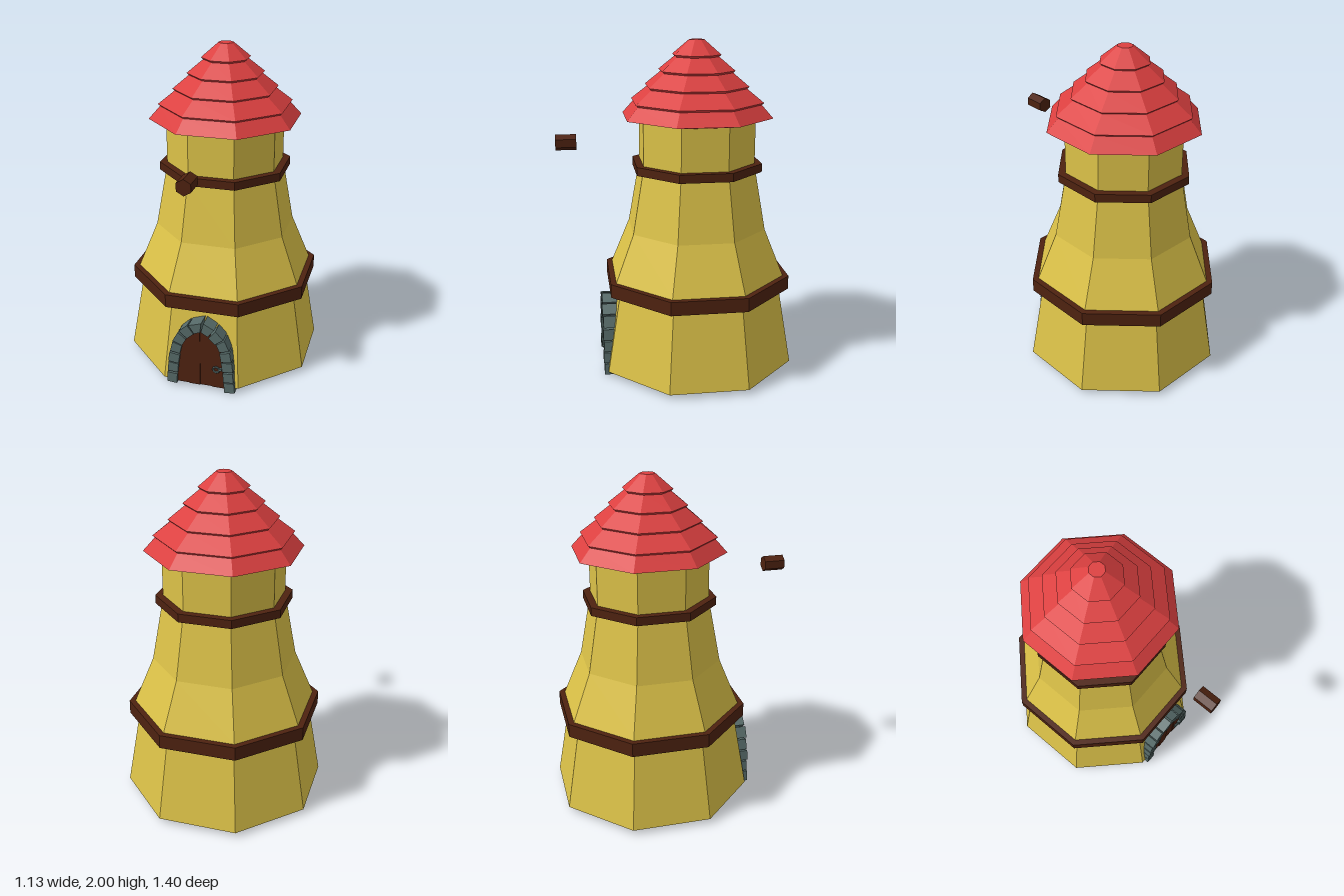
import * as THREE from 'three';

const AXIS_Z = -0.135; // the tower stands behind the centre, the peg floats in front
const mat = (name, color, side = THREE.FrontSide) => {
  const m = new THREE.MeshStandardMaterial({ color, side });
  m.name = name;
  return m;
};

// Give every face its own normal for a faceted look
function faceted(geometry) {
  const g = geometry.index ? geometry.toNonIndexed() : geometry;
  g.computeVertexNormals();
  return g;
}

export function createModel() {
  const model = new THREE.Group();
  model.name = 'tower';
  const plaster = mat('yellow plaster', 0xdcc248, THREE.DoubleSide);
  const tile = mat('red roof', 0xdc4040, THREE.DoubleSide);
  const wood = mat('dark wood', 0x4e2210);
  const stone = mat('grey stone', 0x566a68);

  const add = (name, geometry, material, parent = model) => {
    const mesh = new THREE.Mesh(faceted(geometry), material);
    mesh.name = name;
    parent.add(mesh);
    return mesh;
  };

  // Eight-sided ring from a profile of [distance to flat side, height]
  const octagon = (name, profile, material) => {
    const k = 1 / Math.cos(Math.PI / 8);
    const pts = profile.map(([a, y]) => new THREE.Vector2(a * k, y));
    const mesh = add(name, new THREE.LatheGeometry(pts, 8, Math.PI / 8), material);
    mesh.position.z = AXIS_Z;
    return mesh;
  };

  // Walls, open at the bottom
  octagon('lowerWall', [[0.565, 0.03], [0.483, 0.53]], plaster);
  octagon('middleWall', [[0.515, 0.57], [0.505, 0.6], [0.397, 0.88], [0.334, 1.25]], plaster);
  octagon('upperWall', [[0.33, 1.24], [0.33, 1.56]], plaster);

  // Wooden bands
  const band = (name, inner, outer, y0, y1) =>
    octagon(name, [[inner, y0], [outer, y0], [outer, y1], [inner, y1], [inner, y0]], wood);
  band('lowerBand', 0.478, 0.54, 0.512, 0.595);
  band('upperBand', 0.322, 0.371, 1.235, 1.285);

  // Stepped roof: each tier has a lip that overhangs the one below
  const tiers = [[0.425, 1.557], [0.373, 1.645], [0.292, 1.735], [0.214, 1.825], [0.136, 1.915]];
  const roof = [[0.32, 1.535]];
  tiers.forEach(([a, y], i) => {
    if (i > 0) roof.push([a - 0.012, y - 0.012]);
    roof.push([a, y]);
  });
  roof.push([0.042, 2], [0, 2]);
  octagon('roof', roof, tile);

  // Doorway stones: wedges laid along an arch
  const arch = new THREE.CatmullRomCurve3([
    [-0.177, 0.02], [-0.165, 0.17], [-0.138, 0.305], [-0.095, 0.375], [0.003, 0.433],
    [0.112, 0.365], [0.15, 0.3], [0.17, 0.18], [0.186, 0.003],
  ].map(([x, y]) => new THREE.Vector3(x, y, 0)));
  const doorway = new THREE.Group();
  doorway.name = 'doorway';
  model.add(doorway);
  const stones = 14;
  for (let i = 0; i < stones; i++) {
    const half = 0.031 + (i % 3) * 0.001;
    const edge = (u, side) => {
      const p = arch.getPointAt(u), t = arch.getTangentAt(u);
      return new THREE.Vector2(p.x - t.y * half * side, p.y + t.x * half * side);
    };
    const u0 = (i + (i ? 0.06 : 0)) / stones;
    const u1 = (i + (i < stones - 1 ? 0.94 : 1)) / stones;
    const shape = new THREE.Shape([edge(u0, -1), edge(u1, -1), edge(u1, 1), edge(u0, 1)]);
    const front = 0.456 - (i % 2) * 0.004;
    const geo = new THREE.ExtrudeGeometry(shape, { depth: front - 0.345, bevelEnabled: false });
    add('archStone', geo, stone, doorway).position.z = 0.345;
  }

  // Door planks with a rounded top line
  const top = (x) => 0.15 + 0.25 * Math.sqrt(Math.max(0, 1 - (x / 0.152) ** 2));
  const seams = [-0.148, -0.07, 0, 0.075, 0.15];
  for (let i = 0; i < 4; i++) {
    const [x0, x1] = [seams[i], seams[i + 1]];
    const pts = [new THREE.Vector2(x0, 0.025), new THREE.Vector2(x1, 0.025)];
    for (let j = 0; j <= 6; j++) {
      const x = x1 + ((x0 - x1) * j) / 6;
      pts.push(new THREE.Vector2(x, top(x)));
    }
    const depth = i % 2 ? 0.024 : 0.019;
    const geo = new THREE.ExtrudeGeometry(new THREE.Shape(pts), { depth, bevelEnabled: false });
    add('doorPlank', geo, wood, doorway).position.z = 0.42;
  }

  // Ring handle and its mount
  add('doorHandle', new THREE.TorusGeometry(0.019, 0.007, 5, 8), stone, doorway)
    .position.set(0.103, 0.158, 0.454);
  add('handleMount', new THREE.BoxGeometry(0.02, 0.014, 0.022), stone, doorway)
    .position.set(0.128, 0.162, 0.45);

  // Six-sided peg in front of the upper wall
  const peg = new THREE.CylinderGeometry(0.047, 0.047, 0.122, 6);
  peg.rotateX(Math.PI / 2);
  add('axlePeg', peg, wood).position.set(0, 1.414, 0.639);

  return model;
}
